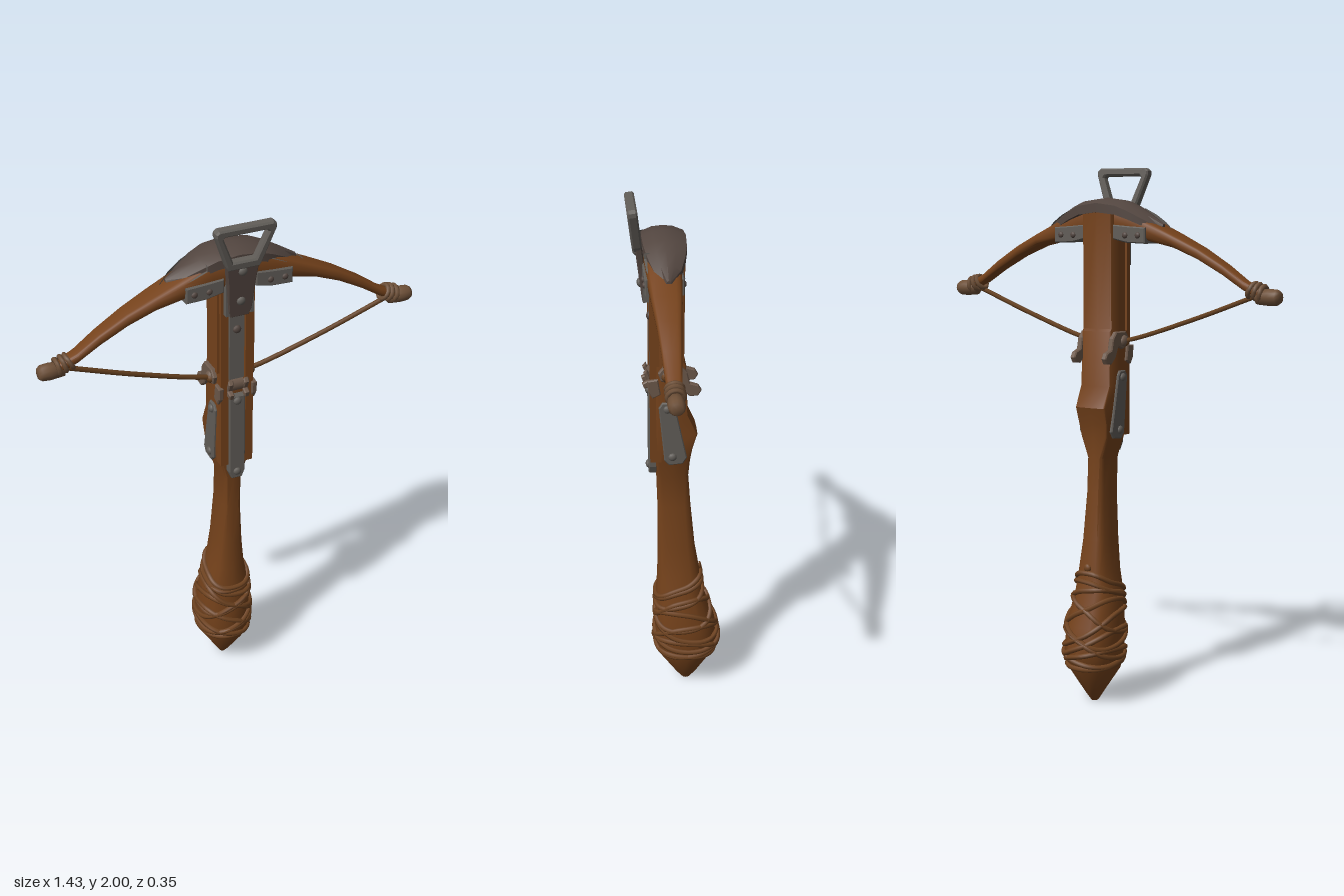
import * as THREE from 'three';
import { toCreasedNormals } from 'three/addons/utils/BufferGeometryUtils.js';

const material = (name, color) => Object.assign(new THREE.MeshStandardMaterial({ color }), { name });
const V = (x, y, z) => new THREE.Vector3(x, y, z);
const SEG = 16;

// Superellipse point: n = 2 is round, larger n is boxier
function squircle(a, n) {
  const f = (t) => Math.sign(t) * Math.pow(Math.abs(t), 2 / n);
  return [f(Math.cos(a)), f(Math.sin(a))];
}

// Skin a list of rings and close both ends
function loft(rings, crease = 0.6) {
  const pos = [], k = rings[0].length;
  const tri = (...p) => p.forEach((v) => pos.push(v.x, v.y, v.z));
  const mid = (r) => r.reduce((s, p) => s.add(p), V(0, 0, 0)).divideScalar(k);
  const first = rings[0], last = rings[rings.length - 1];
  for (let j = 0; j < k; j++) {
    const n = (j + 1) % k;
    for (let i = 0; i + 1 < rings.length; i++) {
      const a = rings[i][j], b = rings[i][n], c = rings[i + 1][n], d = rings[i + 1][j];
      tri(a, d, b);
      tri(b, d, c);
    }
    tri(mid(first), first[j], first[n]);
    tri(mid(last), last[n], last[j]);
  }
  const g = new THREE.BufferGeometry();
  g.setAttribute('position', new THREE.Float32BufferAttribute(pos, 3));
  return toCreasedNormals(g, crease);
}

const ringOf = (fn) => Array.from({ length: SEG }, (_, j) => fn((j / SEG) * Math.PI * 2));

// Stock profile: y, half width, front z, back z, squareness
const STOCK = [
  [0, 0.012, -0.025, -0.055, 2], [0.03, 0.03, 0, -0.08, 2], [0.13, 0.092, 0.065, -0.14, 2.2],
  [0.2, 0.1, 0.085, -0.168, 2.3], [0.3, 0.1, 0.08, -0.148, 2.4], [0.43, 0.08, 0.078, -0.1, 2.6],
  [0.5, 0.063, 0.073, -0.092, 3], [0.62, 0.049, 0.07, -0.072, 3.5], [0.8, 0.037, 0.07, -0.055, 4],
  [0.93, 0.036, 0.074, -0.046, 5], [1.01, 0.06, 0.078, -0.05, 9], [1.06, 0.065, 0.08, -0.058, 12],
  [1.12, 0.066, 0.08, -0.076, 14], [1.2, 0.066, 0.08, -0.04, 14], [1.4, 0.065, 0.08, -0.032, 14],
  [1.41, 0.065, 0.08, -0.026, 14], [1.855, 0.064, 0.08, -0.03, 14],
];
function stockPoint(y, a, grow = 0) {
  let i = 0;
  while (i < STOCK.length - 2 && STOCK[i + 1][0] < y) i++;
  const A = STOCK[i], B = STOCK[i + 1], t = (y - A[0]) / (B[0] - A[0]);
  const [w, f, b, n] = [1, 2, 3, 4].map((k) => A[k] + (B[k] - A[k]) * t);
  const [c, s] = squircle(a, n);
  return V(c * (w + grow), y, (f + b) / 2 + s * ((f - b) / 2 + grow));
}

// Extrude an outline of x, y points
function plate(points, depth, hole, bevel = 0.004) {
  const toShape = (P, pts) => new P(pts.map((p) => new THREE.Vector2(...p)));
  const shape = toShape(THREE.Shape, points);
  if (hole) shape.holes.push(toShape(THREE.Path, hole));
  return new THREE.ExtrudeGeometry(shape, {
    depth: depth - 2 * bevel, bevelEnabled: true, bevelThickness: bevel, bevelSize: bevel, bevelOffset: -bevel, bevelSegments: 1,
  }).translate(0, 0, bevel);
}
// Extrude an outline of z, y points from x0 to x1
const sidePlate = (points, x0, x1) => plate(points, x1 - x0).rotateY(-Math.PI / 2).translate(x1, 0, 0);

export function createModel() {
  const wood = material('wood', 0x75421b);
  const leather = material('leather', 0x6f4320);
  const hide = material('tip hide', 0x6e5038);
  const cord = material('bowstring', 0x65401f);
  const steel = material('steel', 0x615d58);
  const dark = material('dark iron', 0x534640);
  const lever = material('lever iron', 0x6c584a);

  const model = new THREE.Group();
  const add = (name, geo, mat, parent = model) => {
    const m = new THREE.Mesh(geo, mat);
    m.name = name;
    parent.add(m);
    return m;
  };
  const box = (name, w, h, d, x, y, z, mat) =>
    add(name, new THREE.BoxGeometry(w, h, d).translate(x, y, z), mat);
  // Domed rivet facing along dir
  const rivet = (x, y, z, dir, mat = steel, r = 0.016, parent = model) => {
    const m = add('rivet', new THREE.SphereGeometry(r, 10, 5, 0, Math.PI * 2, 0, Math.PI / 2).scale(1, 0.7, 1), mat, parent);
    m.position.set(x, y, z);
    m.quaternion.setFromUnitVectors(V(0, 1, 0), dir);
  };
  const FRONT = V(0, 0, 1), BACK = V(0, 0, -1);

  // Stock with handle and pommel
  add('stock', loft(STOCK.map(([y]) => ringOf((a) => stockPoint(y, a)))), wood);

  // Rails and metal track on the front
  for (const s of [-1, 1]) {
    box('rail', 0.03, 0.78, 0.04, s * 0.048, 1.4, 0.078, wood);
    box('rail edge', 0.012, 0.42, 0.02, s * 0.066, 1.61, 0.075, wood);
  }
  box('track', 0.056, 0.42, 0.02, 0, 1.58, 0.086, steel);
  add('lower plate', plate([[-0.02, 0.945], [0.02, 0.945], [0.032, 0.975], [0.032, 1.3], [-0.032, 1.3], [-0.032, 0.975]], 0.03)
    .translate(0, 0, 0.073), steel);
  [0.975, 1.28].forEach((y) => rivet(0, y, 0.102, FRONT));
  rivet(0, 1.57, 0.095, FRONT, dark);
  add('release nut', new THREE.CylinderGeometry(0.028, 0.028, 0.05, 12).rotateZ(Math.PI / 2).translate(0, 1.345, 0.08), lever);

  // Side plates, levers and their pivots
  const plateShape = [[0.068, 1.235], [0.055, 1.255], [0.02, 1.255], [0.008, 1.24], [-0.036, 1.03], [-0.02, 1.005], [0.03, 1.0], [0.048, 1.02]];
  const leverShape = [[0.05, 1.4], [-0.015, 1.4], [-0.036, 1.375], [-0.045, 1.335], [-0.075, 1.325], [-0.087, 1.305],
    [-0.075, 1.285], [-0.045, 1.282], [-0.018, 1.305], [0, 1.345], [0.03, 1.335], [0.06, 1.345], [0.07, 1.375]];
  const hookShape = [[0.11, 1.375], [0.098, 1.345], [0.098, 1.305], [0.12, 1.3], [0.127, 1.32], [0.108, 1.33], [0.122, 1.36]]
    .map(([z, y]) => [z - 0.002, y]);
  const stubShape = [[0.11, 1.345], [0.07, 1.35], [0.06, 1.29], [0.09, 1.275], [0.105, 1.3]];
  for (const s of [-1, 1]) {
    const side = (name, shape, a, b, mat) => add(name, sidePlate(shape, s > 0 ? a : -b, s > 0 ? b : -a), mat);
    const out = V(s, 0, 0);
    side('side plate', plateShape, 0.06, 0.074, steel);
    rivet(s * 0.073, 1.23, 0.036, out);
    rivet(s * 0.073, 1.035, 0.018, out);
    side('trigger lever', leverShape, 0.058, 0.08, lever);
    side('trigger stub', stubShape, 0.055, 0.075, lever);
    side('string hook', hookShape, 0.02, 0.04, lever);
    rivet(s * 0.078, 1.365, 0.035, out, lever, 0.022);
  }

  // Bow limbs: x, top, bottom, half depth
  const LIMB = [[0, 1.86, 1.75, 0.065], [0.1, 1.85, 1.735, 0.062], [0.2, 1.803, 1.73, 0.06], [0.3, 1.757, 1.708, 0.052],
    [0.4, 1.71, 1.667, 0.042], [0.5, 1.652, 1.613, 0.034], [0.58, 1.597, 1.562, 0.028], [0.66, 1.56, 1.528, 0.023]];
  const limbRings = LIMB.map(([x, t, b, d]) => ringOf((a) => {
    const [c, s] = squircle(a, 4);
    return V(x, (t + b) / 2 + (s * (t - b)) / 2, c * d);
  }));
  for (const s of [-1, 1]) {
    const limb = new THREE.Group();
    limb.name = s > 0 ? 'leftLimb' : 'rightLimb';
    limb.position.z = 0.053;
    if (s < 0) limb.rotation.y = Math.PI;
    model.add(limb);
    add('limb', loft(limbRings, 0.8), wood, limb);
    // Hide cap and windings on the tip
    const cap = [[0, 0], [0.02, 0], [0.028, 0.012], [0.03, 0.04], [0.026, 0.09], [0, 0.09]].map((p) => new THREE.Vector2(...p));
    add('tip cap', new THREE.LatheGeometry(cap, 12).rotateZ(Math.PI / 2).translate(0.716, 1.541, 0), hide, limb);
    for (const [x, y, tilt] of [[0.605, 1.565, 0.5], [0.626, 1.56, 0.3], [0.647, 1.553, 0.2]])
      add('tip winding', new THREE.TorusGeometry(0.027, 0.009, 6, 14).rotateY(Math.PI / 2).rotateZ(-tilt).translate(x, y, 0), hide, limb);
    // Steel bracket clasping the root of the limb, with a pointed upper leaf
    const leaf = [[0.12, 1.848, 0.066], [0.17, 1.825, 0.062], [0.22, 1.799, 0.045], [0.265, 1.777, 0.01]].map(([x, y, d]) =>
      [V(x, y, d), V(x, y, -d), V(x, y - 0.02, -d), V(x, y - 0.02, d)].reverse());
    add('bracket leaf', loft(leaf), steel, limb);
    const clasp = [[0.06, 1.738], [0.12, 1.725], [0.2, 1.722], [0.2, 1.78], [0.12, 1.785], [0.06, 1.79]];
    add('bracket', plate(clasp, 0.138).translate(0, 0, -0.069), steel, limb);
    for (const x of [0.115, 0.17]) {
      rivet(x, 1.752, 0.068, FRONT, dark, 0.012, limb);
      rivet(x, 1.752, -0.068, BACK, dark, 0.012, limb);
    }
    // Bowstring half, running into the release
    const path = new THREE.CatmullRomCurve3([V(s * 0.635, 1.55, 0.058), V(s * 0.35, 1.447, 0.05), V(s * 0.09, 1.367, 0.04), V(0, 1.358, 0.04)]);
    add('bowstring', new THREE.TubeGeometry(path, 16, 0.009, 6), cord);
    add('string knot', new THREE.SphereGeometry(0.02, 8, 6).translate(s * 0.076, 1.362, 0.04), cord);
  }

  // Domed iron saddle over the limb roots: x, top, half depth
  const saddle = [[0, 1.888, 0.078], [0.08, 1.878, 0.075], [0.13, 1.858, 0.066], [0.19, 1.826, 0.046], [0.245, 1.794, 0.012]];
  const saddleRows = [...saddle.slice(1).reverse().map(([x, t, d]) => [-x, t, d]), ...saddle];
  add('saddle', loft(saddleRows.map(([x, t, d]) => {
    const drop = 0.03 + 0.3 * d;
    return [[1, -drop], [1, -0.02], [0.5, -0.004], [0, 0], [-0.5, -0.004], [-1, -0.02], [-1, -drop]]
      .map(([z, y]) => V(x, t + y, 0.043 + z * d));
  }), 0.5), dark);

  // Stirrup and its shank, leaning forward
  const stirrup = new THREE.Group();
  stirrup.name = 'stirrup';
  stirrup.position.set(0, 1.65, 0.098);
  stirrup.rotation.x = 0.12;
  model.add(stirrup);
  const mirrored = (pts) => [...pts, ...pts.map(([x, y]) => [-x, y]).reverse()];
  add('stirrup loop', plate(mirrored([[0.058, 0.185], [0.066, 0.2], [0.112, 0.325], [0.112, 0.34], [0.1, 0.35]]), 0.035,
    mirrored([[0.042, 0.217], [0.082, 0.315], [0.076, 0.322]]), 0.006), steel, stirrup);
  add('shank', plate(mirrored([[0.034, -0.015], [0.044, 0.01], [0.052, 0.12], [0.062, 0.2]]), 0.024), dark, stirrup);
  for (const y of [0.05, 0.17]) rivet(0, y, 0.023, FRONT, steel, 0.017, stirrup);
  for (const s of [-1, 1]) box('shank cheek', 0.014, 0.2, 0.04, s * 0.046, 1.74, 0.1, steel);

  // Leather cords round the grip: height, slope across x, slope across z
  const WRAPS = [[0.455, 0, -0.045], [0.432, 0.01, -0.035], [0.405, -0.02, -0.03], [0.34, 0.06, -0.03], [0.34, -0.06, -0.02],
    [0.29, 0.06, 0.03], [0.29, -0.06, 0.03], [0.235, 0.055, -0.02], [0.235, -0.055, 0.01], [0.19, 0.03, 0.02],
    [0.185, -0.03, -0.01], [0.155, 0, 0.01]];
  for (const [y, tx, tz] of WRAPS) {
    const pts = Array.from({ length: 28 }, (_, i) => {
      const a = (i / 28) * Math.PI * 2;
      return stockPoint(y + tx * Math.cos(a) + tz * Math.sin(a), a, 0.002);
    });
    add('grip cord', new THREE.TubeGeometry(new THREE.CatmullRomCurve3(pts, true), 48, 0.01, 6, true), leather);
  }
  rivet(0, 0.52, -0.088, BACK, leather);

  return model;
}
